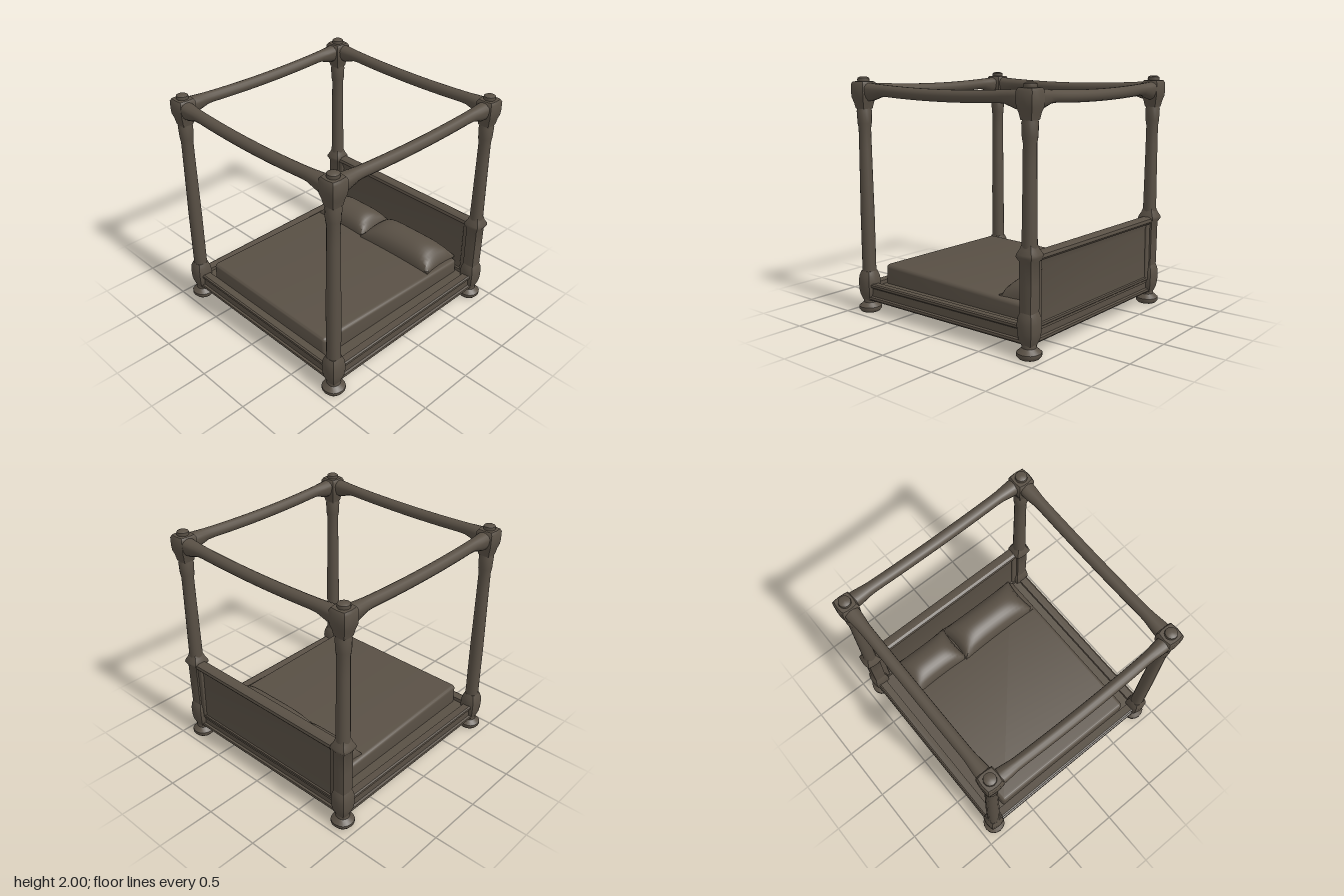
import * as THREE from 'three';
import { mergeVertices, toCreasedNormals } from 'three/addons/utils/BufferGeometryUtils.js';
import { RoundedBoxGeometry } from 'three/addons/geometries/RoundedBoxGeometry.js';

const wood = new THREE.MeshStandardMaterial({ color: 0x595045 });
wood.name = 'dark walnut';

function smooth(geo, crease = 0.7) {
  geo.deleteAttribute('normal');
  geo.deleteAttribute('uv');
  return toCreasedNormals(mergeVertices(geo, 1e-4), crease);
}

function bend(geo, rule) {
  const p = geo.attributes.position, v = new THREE.Vector3();
  for (let i = 0; i < p.count; i++) {
    rule(v.fromBufferAttribute(p, i));
    p.setXYZ(i, v.x, v.y, v.z);
  }
  return geo;
}

function add(parent, name, geo) {
  const mesh = new THREE.Mesh(geo, wood);
  mesh.name = name;
  parent.add(mesh);
  return mesh;
}

// Turned part from [radius, height] pairs; square 0 = round, 1 = square section
function turned(profile, square = 0) {
  const geo = new THREE.LatheGeometry(profile.map(([r, y]) => new THREE.Vector2(r, y)), 16);
  return smooth(bend(geo, (v) => {
    const r = Math.hypot(v.x, v.z);
    if (r < 1e-5) return;
    const k = 1 + square * (r / Math.max(Math.abs(v.x), Math.abs(v.z)) - 1);
    v.x *= k;
    v.z *= k;
  }));
}

// Moulding running along x, profile given as [z, y]
function moulding(profile, length) {
  const shape = new THREE.Shape(profile.map(([z, y]) => new THREE.Vector2(z, y)));
  const geo = new THREE.ExtrudeGeometry(shape, { depth: length, bevelEnabled: false });
  return smooth(geo.translate(0, 0, -length / 2).rotateY(-Math.PI / 2), 0.5);
}

// Sagging canopy pole along x, thicker underneath near the posts
function canopyPole(bulge) {
  const geo = new THREE.CylinderGeometry(0.048, 0.048, 1.64, 14, 28).rotateZ(Math.PI / 2);
  return smooth(bend(geo, (v) => {
    const t = Math.abs(v.x) / 0.82;
    const flare = THREE.MathUtils.smoothstep(t, 0.74, 0.97);
    if (v.y < 0) v.y *= 1 + 1.15 * flare;
    v.z *= 1 + 0.3 * flare;
    v.y += 1.876 + 0.03 * t * t;
    v.z += bulge * (1 - t * t);
  }));
}

function post(isRear) {
  const g = new THREE.Group();
  add(g, 'bunFoot', turned([[0, 0.005], [0.078, 0.005], [0.094, 0.025], [0.094, 0.05],
    [0.055, 0.085], [0.052, 0.13], [0, 0.13]], 0.08));
  add(g, 'postSocket', turned([[0, 0.1], [0.05, 0.105], [0.068, 0.15], [0.076, 0.2],
    [0.078, 0.27], [0.072, 0.32], [0.056, 0.36], [0, 0.36]], 0.45));
  if (isRear) {
    add(g, 'headboardStile', turned([[0, 0.3], [0.058, 0.3], [0.06, 0.55], [0.061, 0.73],
      [0.082, 0.765], [0.08, 0.785], [0.06, 0.82], [0.046, 0.86], [0, 0.86]], 0.55));
  }
  add(g, 'postShaft', turned([[0.056, 0.34], [0.056, 0.85], [0.053, 1.1], [0.05, 1.4],
    [0.049, 1.58], [0.056, 1.62], [0.06, 1.72], [0.052, 1.75], [0.054, 1.8]], 0.1));
  add(g, 'postCapital', turned([[0, 1.73], [0.054, 1.74], [0.064, 1.79], [0.078, 1.83],
    [0.081, 1.87], [0.081, 1.94], [0.068, 1.962], [0, 1.965]], 0.65));
  add(g, 'finial', turned([[0, 1.95], [0.045, 1.95], [0.05, 1.97], [0.048, 1.99], [0.03, 2], [0, 2]]));
  return g;
}

// Pillow with a full middle and thin pinched corners
function pillow(width, depth, height) {
  const geo = new THREE.BoxGeometry(2, 2, 2, 20, 1, 14);
  return smooth(bend(geo, (v) => {
    const a = v.x, b = v.z;
    const puff = Math.pow(Math.max(0, (1 - a * a * a * a) * (1 - b * b)), 0.55);
    const side = v.y > 0 ? height : -0.03;
    v.y = Math.sign(v.y) * 0.008 + side * puff;
    v.x = a * width / 2 * (1 - 0.05 * (1 - b * b));
    v.z = b * depth / 2 * (1 - 0.06 * (1 - a * a));
  }), 0.9);
}

export function createModel() {
  const bed = new THREE.Group();
  bed.name = 'canopyBed';

  // Four corner posts
  for (const sx of [-1, 1]) {
    for (const sz of [-1, 1]) {
      const p = post(sz < 0);
      p.name = (sz > 0 ? 'front' : 'rear') + (sx > 0 ? 'Left' : 'Right') + 'Post';
      p.position.set(sx * 0.858, 0, sz * 0.866);
      bed.add(p);
    }
  }

  // Bed rails and canopy poles on all four sides
  const rail = [[0.82, 0.11], [0.9, 0.11], [0.908, 0.122], [0.905, 0.14], [0.888, 0.148],
    [0.888, 0.215], [0.905, 0.228], [0.905, 0.248], [0.892, 0.256], [0.825, 0.25]];
  ['front', 'left', 'rear', 'right'].forEach((side, k) => {
    const g = new THREE.Group();
    g.name = side + 'Rails';
    add(g, side + 'BedRail', moulding(rail, 1.66));
    add(g, side + 'CanopyPole', canopyPole(side === 'front' ? 0.012 : 0))
      .position.z = k % 2 ? 0.858 : 0.878;
    g.rotation.y = k * Math.PI / 2;
    bed.add(g);
  });

  // Slab under the mattress
  add(bed, 'bedBase', new THREE.BoxGeometry(1.68, 0.1, 1.68)).position.y = 0.17;

  // Mattress, a little thicker and narrower towards the foot end
  const mattress = bend(new RoundedBoxGeometry(1.46, 0.2, 1.65, 4, 0.035), (v) => {
    if (v.z > 0) v.x *= 0.975;
    if (v.y > 0) v.y += 0.025 * v.z / 0.82;
  });
  add(bed, 'mattress', smooth(mattress, 0.6)).position.y = 0.267;

  // Headboard panel with a moulded cap and framing strips
  add(bed, 'headboardPanel', moulding([[-0.895, 0.2], [-0.845, 0.2], [-0.852, 0.68],
    [-0.835, 0.735], [-0.9, 0.735], [-0.885, 0.68]], 1.64));
  add(bed, 'headboardCap', moulding([[-0.915, 0.73], [-0.83, 0.73], [-0.822, 0.75],
    [-0.828, 0.775], [-0.85, 0.788], [-0.9, 0.788], [-0.925, 0.775], [-0.93, 0.75]], 1.64));
  for (const s of [-1, 1]) {
    add(bed, 'headboardEndStrip', new RoundedBoxGeometry(0.06, 0.53, 0.075, 2, 0.015))
      .position.set(s * 0.785, 0.5, -0.868);
  }

  // Two pillows
  const right = add(bed, 'rightPillow', pillow(0.58, 0.37, 0.14));
  right.position.set(-0.4, 0.358, -0.645);
  const left = add(bed, 'leftPillow', pillow(0.82, 0.38, 0.153));
  left.position.set(0.285, 0.358, -0.636);

  return bed;
}
